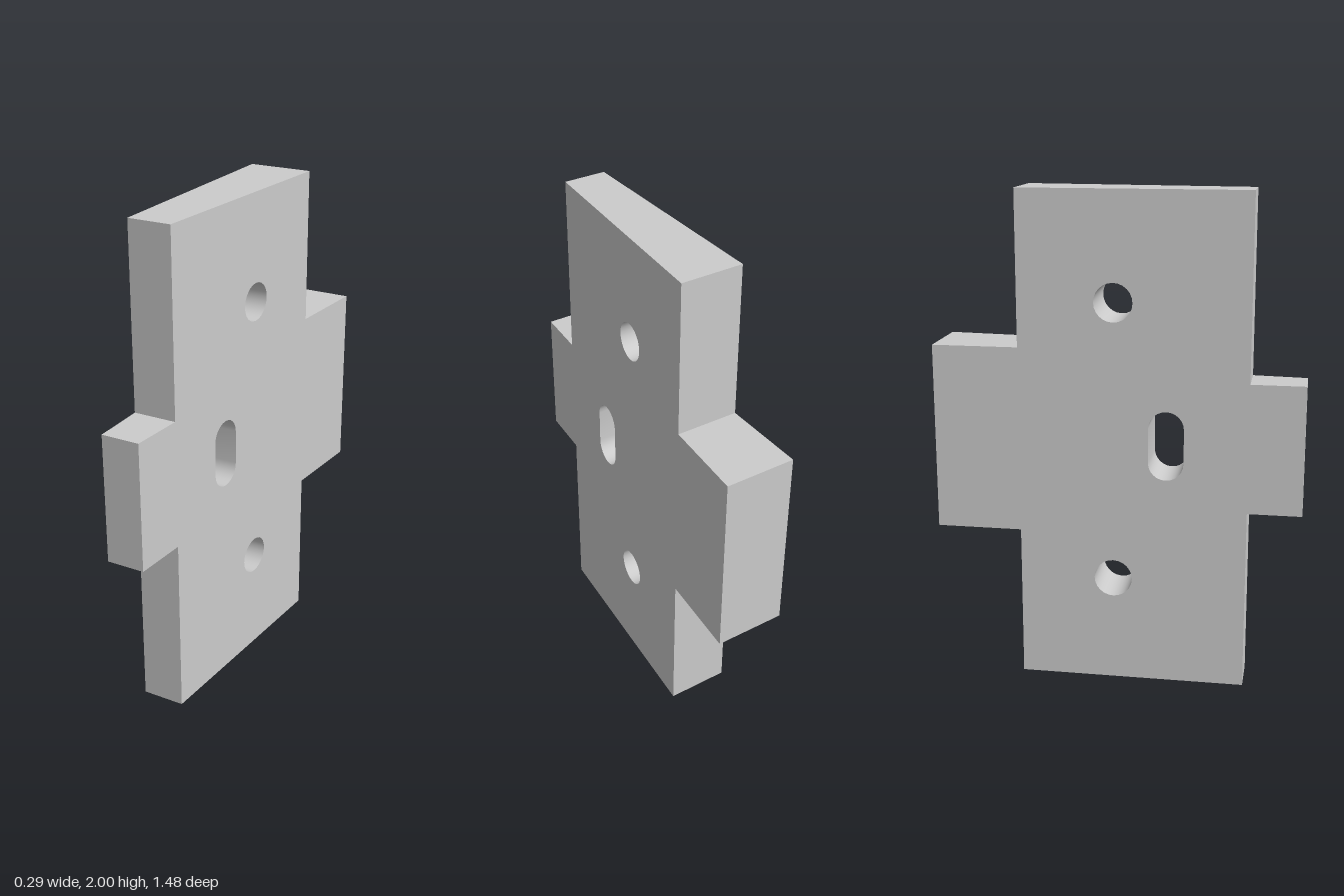
import * as THREE from 'three';
import { toCreasedNormals } from 'three/addons/utils/BufferGeometryUtils.js';

const BACK_X = -0.143; // flat face
const slopeX = (z) => 0.077 - 0.088 * z; // inclined face, thinner toward the front

// Closed path of a slot (or a round hole when straight = 0); u is -z
function slot(u, y, r, straight = 0) {
  const path = new THREE.Path();
  path.absarc(u, y + straight / 2, r, 0, Math.PI, false);
  path.absarc(u, y - straight / 2, r, Math.PI, Math.PI * 2, false);
  path.closePath();
  return path;
}

export function createModel() {
  const group = new THREE.Group();

  // Side outline: tall plate with a short front tab and a larger rear tab
  const outline = new THREE.Shape([
    [-0.524, 0], [0.394, 0], [0.394, 0.625], [0.741, 0.625],
    [0.741, 1.382], [0.394, 1.382], [0.394, 2], [-0.524, 2],
    [-0.524, 1.265], [-0.741, 1.265], [-0.741, 0.741], [-0.524, 0.741],
  ].map(([u, y]) => new THREE.Vector2(u, y)));

  // Two round holes and one upright slot
  outline.holes.push(
    slot(0.012, 1.568, 0.077),
    slot(0.012, 0.437, 0.077),
    slot(-0.199, 1.003, 0.071, 0.138),
  );

  let geometry = new THREE.ExtrudeGeometry(outline, { depth: 1, bevelEnabled: false, curveSegments: 6 });
  geometry.rotateY(Math.PI / 2);

  // Taper the plate into a wedge
  const pos = geometry.attributes.position;
  for (let i = 0; i < pos.count; i++) {
    pos.setX(i, pos.getX(i) > 0.5 ? slopeX(pos.getZ(i)) : BACK_X);
  }
  geometry = toCreasedNormals(geometry, 0.8);

  const plate = new THREE.Mesh(geometry, new THREE.MeshStandardMaterial({ color: 0xcccccc }));
  plate.name = 'wedgePlate';
  group.add(plate);
  return group;
}
